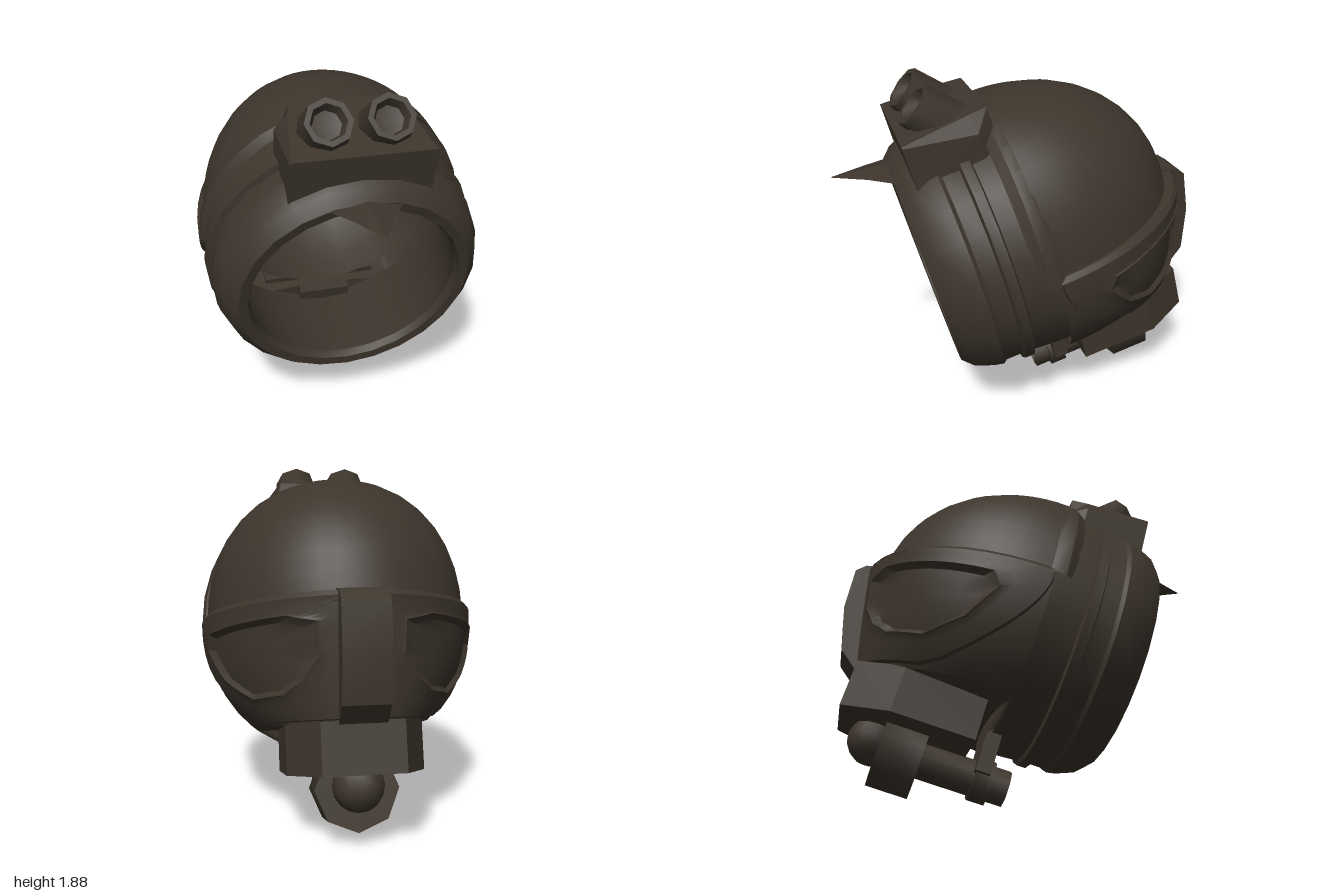
import * as THREE from 'three';
import { toCreasedNormals } from 'three/addons/utils/BufferGeometryUtils.js';

const metal = new THREE.MeshStandardMaterial({ color: 0x3d352c, side: THREE.DoubleSide });
metal.name = 'dark bronze';

function add(parent, name, geometry, crease = 0.8) {
  const mesh = new THREE.Mesh(toCreasedNormals(geometry, crease), metal);
  mesh.name = name;
  parent.add(mesh);
  return mesh;
}

// Surface through fn(i, j) for i in 0..nu, j in 0..nv
function grid(fn, nu, nv) {
  const pos = [], index = [], w = nv + 1;
  for (let i = 0; i <= nu; i++) for (let j = 0; j <= nv; j++) pos.push(...fn(i, j));
  for (let i = 0; i < nu; i++) for (let j = 0; j < nv; j++) {
    const a = i * w + j, b = a + w;
    index.push(a, a + 1, b, b, a + 1, b + 1);
  }
  const g = new THREE.BufferGeometry();
  g.setAttribute('position', new THREE.Float32BufferAttribute(pos, 3));
  g.setIndex(index);
  return g;
}

// Lathe turned to run along z; points are [radius, z]
function latheZ(points, sides, start = 0, length = Math.PI * 2) {
  const pts = points.map(p => new THREE.Vector2(...p));
  return new THREE.LatheGeometry(pts, sides, start, length).rotateX(Math.PI / 2);
}

// Block with a mirrored plan outline [x, z], standing between y0 and y1
function planBlock(half, y0, y1) {
  const all = [...half, ...half.map(([x, z]) => [-x, z]).reverse()];
  const shape = new THREE.Shape(all.map(([x, z]) => new THREE.Vector2(x, -z)));
  return new THREE.ExtrudeGeometry(shape, { depth: y1 - y0, bevelEnabled: false })
    .rotateX(-Math.PI / 2).translate(0, y0, 0);
}

// U-shaped horizontal slices of the head: half width and depth at height y
const round = (v, r) => Math.pow(Math.max(0, 1 - Math.pow(Math.abs(v) / r, 2.2)), 1 / 2.2);
const faceWidth = y => 0.715 * round(y, 0.73);
const faceDepth = y => (y > -0.58 ? 0.91 + 0.22 * y : 0.06);
const slice = (y, t, a, c) => [a * Math.cos(t), y, -c * Math.sin(t)];
const face = (y, t, off) => slice(y, t, faceWidth(y) + off, faceDepth(y) + off);
const angleAt = (y, z) => Math.asin(Math.min(1, Math.max(0, -z) / faceDepth(y)));

// Half mask: u runs from its swept front edge (0) to the nose line (1)
const frontAngle = y => angleAt(y, -1.4 * y * y);
const mask = (y, u, off) => face(y, frontAngle(y) + u * (Math.PI / 2 - frontAngle(y)), off);

// Eye outline [y, z], subdivided and converted to [y, u]
const eyeCorners = [[-0.167, -0.235], [-0.097, -0.285], [-0.085, -0.55], [-0.077, -0.79],
  [-0.112, -0.85], [-0.274, -0.815], [-0.38, -0.75], [-0.435, -0.67], [-0.445, -0.502],
  [-0.341, -0.343]];
const eye = eyeCorners.flatMap(([y0, z0], i) => {
  const [y1, z1] = eyeCorners[(i + 1) % eyeCorners.length];
  return [0, 0.25, 0.5, 0.75].map(k => {
    const y = y0 + (y1 - y0) * k, t0 = frontAngle(y);
    return [y, (angleAt(y, z0 + (z1 - z0) * k) - t0) / (Math.PI / 2 - t0)];
  });
});
const CY = -0.26, CU = 0.42, BOTTOM = -0.56;

// Point of the half mask on the ray through eye outline point j:
// k > 1 moves from the outline (1) to the mask border (2), k < 1 towards the eye centre
function eyeRay(j, k, off) {
  const [y, u] = eye[j % eye.length], dy = y - CY, du = u - CU;
  const reachY = (dy > 0 ? -CY : BOTTOM - CY) / (dy || 1e-6);
  const reachU = (du > 0 ? 1 - CU : -CU) / (du || 1e-6);
  const s = k <= 1 ? k : 1 + (Math.min(reachY, reachU) - 1) * (k - 1);
  return mask(CY + dy * s, CU + du * s, off);
}

export function createModel() {
  const root = new THREE.Group();
  root.name = 'helmet';
  const head = new THREE.Group();
  head.name = 'tiltedHead';
  head.position.y = 1;
  head.rotation.x = 0.262;
  root.add(head);

  // Neck ring with rolled lip and a raised band
  add(head, 'neckRing', latheZ([
    [0.67, -0.02], [0.62, 0.2], [0.56, 0.46], [0.545, 0.53], [0.56, 0.57], [0.61, 0.575],
    [0.665, 0.52], [0.705, 0.42], [0.715, 0.37], [0.70, 0.35], [0.70, 0.26], [0.73, 0.25],
    [0.73, 0.20], [0.705, 0.19], [0.715, 0.05], [0.715, -0.02],
  ], 24).scale(1, 0.975, 1), 0.5);

  // Bowl inside the helmet
  add(head, 'innerBowl', grid((i, j) => {
    const a = i / 8 * Math.PI / 2, b = j / 24 * Math.PI * 2;
    return [0.62 * Math.cos(a) * Math.cos(b), 0.05 + 0.57 * Math.cos(a) * Math.sin(b),
      -0.02 - 0.78 * Math.sin(a)];
  }, 8, 24));

  // Dome over the upper rear
  add(head, 'dome', grid((i, j) => {
    const y = 0.77 * Math.sin(i / 10 * Math.PI / 2), s = round(y, 0.77);
    return slice(y, j / 24 * Math.PI, 0.705 * s, 0.86 * s);
  }, 10, 24));

  // Arch and ledge that frame the dome
  const arch = latheZ([[0.69, -0.03], [0.725, -0.03], [0.74, 0.0], [0.74, 0.05], [0.71, 0.10]],
    16, Math.PI / 2, Math.PI).scale(0.99, 1.06, 1);
  add(head, 'domeArch', arch, 0.5);
  add(head, 'domeLedge', grid((i, j) => {
    const [off, y] = [[-0.07, 0.035], [0.0, 0.025], [0.02, 0.0]][i];
    return face(y, j / 24 * Math.PI, off);
  }, 2, 24), 0.5);

  // Lower face shell, with a nearly flat floor
  const shellRows = [0.02, -0.1, -0.2, -0.3, -0.4, -0.5, -0.575, -0.6, -0.66, -0.69];
  add(head, 'faceShell', grid((i, j) => face(shellRows[i], j / 24 * Math.PI, -0.005),
    shellRows.length - 1, 24), 0.6);

  // Raised mask halves around the eye openings, bevelled down to sunken lenses
  const maskRings = [[2, -0.005], [1.97, 0.02], [1.6, 0.02], [1.3, 0.02], [1.06, 0.022], [1, 0.028]];
  const lensRings = [[1, 0.028], [0.86, 0.0], [0.5, 0.0], [0, 0.0]];
  for (const [side, label] of [[1, 'left'], [-1, 'right']]) {
    for (const [part, rings] of [['Mask', maskRings], ['Eye', lensRings]]) {
      add(head, label + part, grid((i, j) => {
        const [x, y, z] = eyeRay(j, ...rings[i]);
        return [side * x, y, z];
      }, rings.length - 1, eye.length), 0.5);
    }
  }

  // Strap down the middle of the face
  const strap = new THREE.Shape([[0.86, 0.04], [0.94, 0.02], [0.985, -0.03], [0.965, -0.26],
    [0.89, -0.5], [0.79, -0.58], [0.77, -0.5], [0.84, -0.1]].map(p => new THREE.Vector2(...p)));
  add(head, 'noseStrap', new THREE.ExtrudeGeometry(strap, { depth: 0.23, bevelEnabled: false })
    .translate(0, 0, -0.115).rotateY(Math.PI / 2), 0.4);

  // Snout box tapering to the rear
  add(head, 'snout', planBlock([[0.34, -0.105], [0.34, -0.54], [0.2, -0.785]], -0.815, -0.565), 0.3);

  // Breathing tube under the snout
  const tube = new THREE.Group();
  tube.name = 'breather';
  tube.position.y = -0.895;
  head.add(tube);
  add(tube, 'breatherTube', latheZ([[0, 0.11], [0.075, 0.11], [0.08, 0.15], [0.098, 0.15],
    [0.098, -0.4]], 8));
  add(tube, 'breatherCollar', latheZ([[0.09, 0.06], [0.12, 0.06], [0.12, -0.035], [0.09, -0.035]], 8));
  add(tube, 'breatherHousing', latheZ([[0, -0.32], [0.21, -0.32], [0.21, -0.54], [0, -0.54]], 8));
  const cap = add(tube, 'breatherCap', new THREE.SphereGeometry(0.13, 12, 8));
  cap.position.set(0, 0.02, -0.58);
  const bracket = add(tube, 'breatherBracket', new THREE.BoxGeometry(0.3, 0.33, 0.08));
  bracket.position.set(0, 0.165, -0.005);

  // Lamp mount: cross-sections [z, shoulder width, shoulder y, top width, top y]
  const mount = [[0.485, 0.355, 0.79, 0.35, 0.8], [0.12, 0.355, 0.73, 0.29, 0.815],
    [0.03, 0.3, 0.7, 0.27, 0.815], [0.03, 0, 0.7, 0, 0.7]];
  add(head, 'lampMount', grid((i, j) => {
    if (i === 0) return [0, 0.68, 0.485];
    const [z, w, y, topW, topY] = mount[i - 1];
    return [[-w, 0.56], [-w, y], [-topW, topY], [topW, topY], [w, y], [w, 0.56], [-w, 0.56]][j]
      .concat(z);
  }, mount.length, 6), 0.3);

  // Two angled lamps
  for (const x of [-0.15, 0.15]) {
    const profile = [[0.145, -0.27], [0.13, -0.12], [0.118, 0], [0.09, 0], [0.072, -0.05], [0, -0.06]];
    const lamp = add(head, x > 0 ? 'leftLamp' : 'rightLamp',
      new THREE.LatheGeometry(profile.map(p => new THREE.Vector2(...p)), 8));
    lamp.position.set(x, 0.913, 0.356);
    lamp.rotation.x = 0.651;
  }

  // Flat spike over the opening: [z, half width, centre y, half height]
  const spike = [[0.62, 0.3, 1.41, 0.03], [0.68, 0.19, 1.395, 0.04], [0.82, 0.1, 1.4, 0.025],
    [1, 0, 1.395, 0]];
  add(root, 'spike', grid((i, j) => {
    const [z, w, y, h] = spike[i], a = -j * Math.PI / 2;
    return [w * Math.cos(a), y + h * Math.sin(a), z];
  }, 3, 4), 0.4);

  return root;
}
